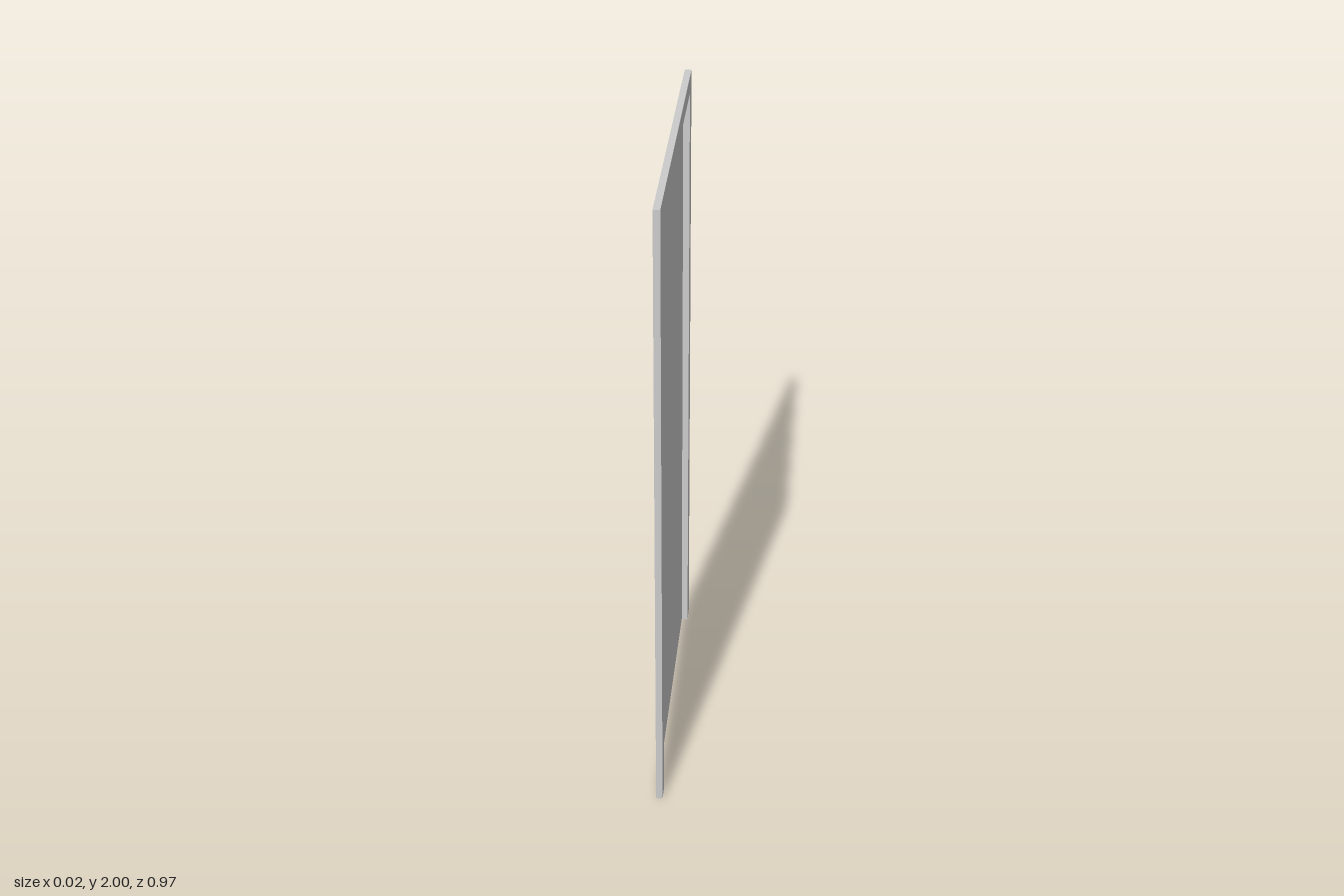
import * as THREE from 'three';

const BACK = -0.01, FRONT = 0.01;

// Door-shaped outline (two uprights and a head, open at the floor) at depth x
function outline(x, halfWidth, height) {
  return [[halfWidth, 0], [halfWidth, height], [-halfWidth, height], [-halfWidth, 0]]
    .map(([z, y]) => new THREE.Vector3(x, y, z));
}

// Flat-sided strip joining two outlines
function strip(a, b) {
  const points = [];
  for (let i = 0; i < a.length - 1; i++) {
    points.push(a[i], b[i + 1], a[i + 1], a[i], b[i], b[i + 1]);
  }
  const geometry = new THREE.BufferGeometry().setFromPoints(points);
  geometry.computeVertexNormals();
  return geometry;
}

export function createModel() {
  const model = new THREE.Group();
  model.name = 'door';
  const material = new THREE.MeshStandardMaterial({ color: 0xcccccc, side: THREE.DoubleSide });
  const add = (name, geometry) => {
    const mesh = new THREE.Mesh(geometry, material);
    mesh.name = name;
    model.add(mesh);
    return mesh;
  };

  // Folded sheet frame: outer lip, front face, and return into the recess
  const outerBack = outline(BACK, 0.485, 2);
  const outerFront = outline(FRONT, 0.485, 2);
  const innerFront = outline(FRONT, 0.432, 1.947);
  const innerBack = outline(BACK, 0.432, 1.947);
  add('frameOuterLip', strip(outerBack, outerFront));
  add('frameFace', strip(outerFront, innerFront));
  add('frameInnerReturn', strip(innerFront, innerBack));

  // Recessed door panel
  const panel = add('doorPanel', new THREE.PlaneGeometry(0.864, 1.947));
  panel.rotation.y = Math.PI / 2;
  panel.position.set(BACK, 1.947 / 2, 0);

  return model;
}
